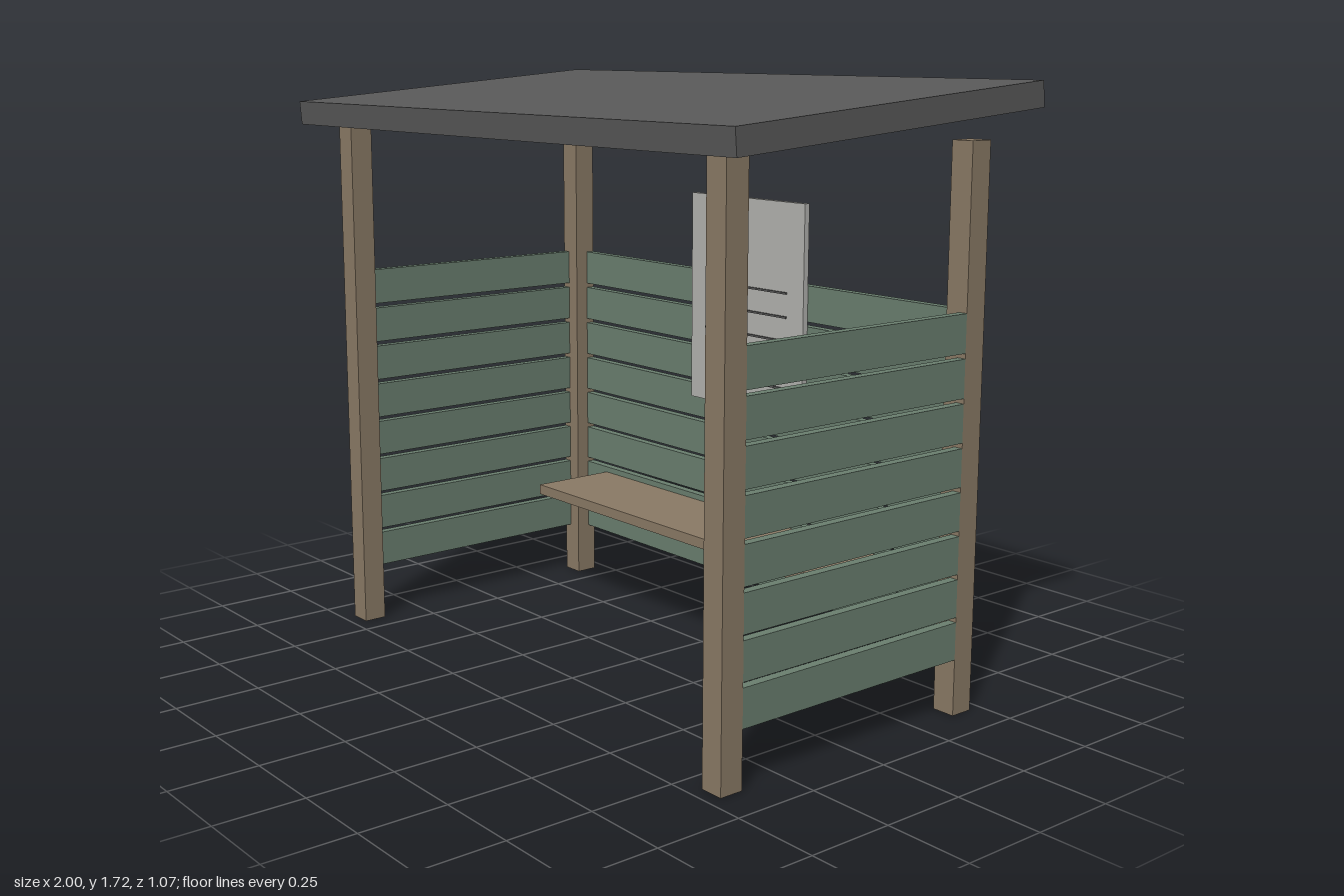
import * as THREE from 'three';

const mat = (color) => new THREE.MeshStandardMaterial({ color, flatShading: true });

export function createModel() {
  const group = new THREE.Group();
  const timber = mat(0x8b7b66), green = mat(0x6b8070), slate = mat(0x5a5a5a);
  const board = mat(0xb4b4b0), dark = mat(0x555555);

  const box = (name, material, w, h, d, x, y, z) => {
    const mesh = new THREE.Mesh(new THREE.BoxGeometry(w, h, d), material);
    mesh.name = name;
    mesh.position.set(x, y, z);
    group.add(mesh);
    return mesh;
  };

  // Four corner posts
  const postX = 0.855, postZ = 0.425, post = 0.07, postH = 1.57;
  for (const sx of [-1, 1])
    for (const sz of [-1, 1])
      box('cornerPost', timber, post, postH, post, sx * postX, postH / 2, sz * postZ);

  // Slatted walls on the back and both sides, flush with the outside of the posts
  const thick = 0.027, slatH = 0.107;
  const wallX = postX + post / 2 - thick / 2, wallZ = postZ + post / 2 - thick / 2;
  for (let i = 0; i < 8; i++) {
    const y = 0.215 + i * 0.1215;
    box('backSlat', green, 2 * postX - post, slatH, thick, 0, y, -wallZ);
    box('leftSlat', green, thick, slatH, 2 * postZ - post, wallX, y, 0);
    box('rightSlat', green, thick, slatH, 2 * postZ - post, -wallX, y, 0);
  }

  // Sloping roof slab, higher at the back
  box('roof', slate, 2, 0.07, 1.065, 0, 1.647, 0).rotation.x = 0.08;

  // Bench along the back wall
  box('benchSeat', timber, 1.43, 0.032, 0.28, 0, 0.356, -0.293);

  // Notice board with ruled rows
  box('noticeBoard', board, 0.5, 0.645, 0.018, 0, 1.037, -0.424);
  for (let i = 0; i < 6; i++)
    box('noticeRow', dark, i < 3 ? 0.36 : 0.33, 0.006, 0.006, 0, 1.09 - i * 0.072, -0.413);

  return group;
}
